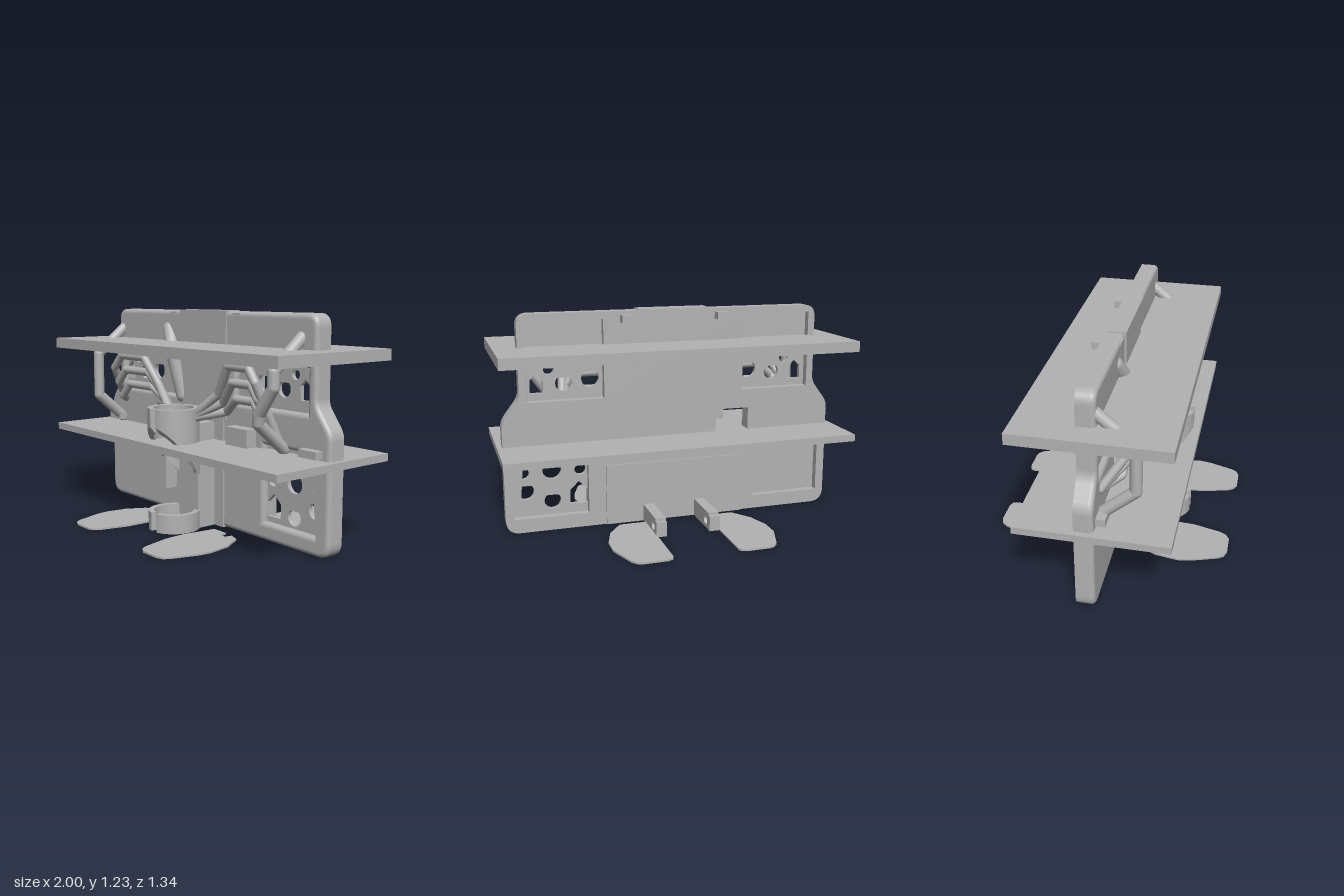
import * as THREE from 'three';
import { mergeGeometries } from 'three/addons/utils/BufferGeometryUtils.js';

const grey = new THREE.MeshStandardMaterial({ color: 0xb2b2b2 });
grey.name = 'plain grey';

export function createModel() {
  const model = new THREE.Group();
  const add = (name, geometry) => {
    const mesh = new THREE.Mesh(geometry, grey);
    mesh.name = name;
    model.add(mesh);
    return mesh;
  };
  // Box given by its limits on each axis
  const box = (name, x0, x1, y0, y1, z0, z1) => add(name,
    new THREE.BoxGeometry(x1 - x0, y1 - y0, z1 - z0).translate((x0 + x1) / 2, (y0 + y1) / 2, (z0 + z1) / 2));
  const poly = (pts) => new THREE.Shape(pts.map(([x, y]) => new THREE.Vector2(x, y)));
  const rect = (x0, x1, y0, y1) => poly([[x0, y0], [x1, y0], [x1, y1], [x0, y1]]);
  const house = (x, y, w, h) => poly([[x - w / 2, y], [x + w / 2, y], [x + w / 2, y + h - w / 2], [x, y + h], [x - w / 2, y + h - w / 2]]);
  const drop = (x, y, r) => {
    const s = new THREE.Shape();
    s.moveTo(x, y + r * 1.41);
    s.absarc(x, y, r, Math.PI * 0.75, Math.PI * 2.25, false);
    s.closePath();
    return s;
  };
  const slab = (name, shape, holes, z0, z1, bevel = 0) => {
    shape.holes = holes;
    return add(name, new THREE.ExtrudeGeometry(shape, {
      depth: z1 - z0 - 2 * bevel, bevelEnabled: bevel > 0, bevelThickness: bevel,
      bevelSize: bevel, bevelOffset: -bevel, bevelSegments: 5, curveSegments: 12,
    }).translate(0, 0, z0 + bevel));
  };
  // Jointed hose: straight runs with round elbows
  const hose = (name, pts, r) => {
    const parts = [];
    const v = pts.map((p) => new THREE.Vector3(...p));
    v.forEach((a, i) => {
      parts.push(new THREE.SphereGeometry(r, 16, 10).translate(a.x, a.y, a.z));
      if (i === v.length - 1) return;
      const d = v[i + 1].clone().sub(a);
      const m = a.clone().addScaledVector(d, 0.5);
      const q = new THREE.Quaternion().setFromUnitVectors(new THREE.Vector3(0, 1, 0), d.clone().normalize());
      parts.push(new THREE.CylinderGeometry(r, r, d.length(), 16, 1, true).applyQuaternion(q).translate(m.x, m.y, m.z));
    });
    add(name, mergeGeometries(parts));
  };

  // Horizontal shelves
  box('upperShelf', -1, 1, 0.98, 1.04, -0.37, 0.43);
  box('lowerShelf', -1, 1, 0.46, 0.5, -0.37, 0.43);

  // Upright body: wide below, shouldered in above
  const outline = () => {
    const s = new THREE.Shape();
    s.moveTo(-0.89, 0);
    s.lineTo(0.89, 0);
    s.quadraticCurveTo(0.97, 0, 0.97, 0.08);
    s.lineTo(0.97, 0.6);
    s.quadraticCurveTo(0.97, 0.63, 0.95, 0.66);
    s.lineTo(0.89, 0.74);
    s.quadraticCurveTo(0.87, 0.77, 0.87, 0.8);
    s.lineTo(0.87, 1.15);
    s.quadraticCurveTo(0.87, 1.22, 0.8, 1.22);
    s.lineTo(-0.8, 1.22);
    s.quadraticCurveTo(-0.87, 1.22, -0.87, 1.15);
    s.lineTo(-0.87, 0.8);
    s.quadraticCurveTo(-0.87, 0.77, -0.89, 0.74);
    s.lineTo(-0.95, 0.66);
    s.quadraticCurveTo(-0.97, 0.63, -0.97, 0.6);
    s.lineTo(-0.97, 0.08);
    s.quadraticCurveTo(-0.97, 0, -0.89, 0);
    return s;
  };
  const slot = () => rect(-0.46, -0.26, 0.4, 0.63);
  slab('bodyFront', outline(), [
    rect(-0.81, -0.27, 0.72, 0.95), rect(0.27, 0.81, 0.72, 0.95),
    rect(-0.92, -0.5, 0.1, 0.52), rect(0.5, 0.92, 0.1, 0.52), slot(),
  ], -0.02, 0.04, 0.025);
  slab('bodyBack', outline(), [
    rect(-0.83, -0.42, 0.74, 1.18), rect(0.4, 0.83, 0.74, 1.18),
    rect(-0.92, -0.5, 0.08, 0.5), rect(0.5, 0.92, 0.08, 0.5), slot(),
  ], -0.06, 0.01);

  // Perforated panels set into the openings
  slab('lowerRightPanel', rect(-0.95, -0.46, 0.07, 0.55), [
    drop(-0.71, 0.34, 0.053), drop(-0.87, 0.33, 0.032), drop(-0.55, 0.33, 0.032),
    house(-0.83, 0.15, 0.13, 0.12), house(-0.6, 0.15, 0.13, 0.12),
    drop(-0.86, 0.44, 0.045), house(-0.55, 0.41, 0.09, 0.12),
  ], 0.005, 0.03);
  slab('lowerLeftPanel', rect(0.46, 0.95, 0.07, 0.55), [
    drop(0.7, 0.34, 0.053), drop(0.54, 0.33, 0.032), drop(0.86, 0.33, 0.032),
    house(0.55, 0.13, 0.1, 0.13), drop(0.7, 0.16, 0.047), drop(0.85, 0.225, 0.047),
    house(0.55, 0.4, 0.13, 0.12), house(0.84, 0.4, 0.13, 0.12),
  ], -0.02, 0.005);
  for (const s of [-1, 1]) {
    slab('upperPanel', rect(s * 0.55 - 0.3, s * 0.55 + 0.3, 0.69, 0.98), [
      house(s * 0.77, 0.78, 0.07, 0.11), drop(s * 0.47, 0.85, 0.05), drop(s * 0.62, 0.83, 0.045),
      drop(s * 0.7, 0.91, 0.028), drop(s * 0.33, 0.9, 0.03),
    ], -0.015, 0.01);
    // Small latches and hinge blocks
    box('topTab', s * 0.275 - 0.03, s * 0.275 + 0.03, 1.16, 1.2, -0.115, -0.05);
    box('topNub', s * 0.28 - 0.03, s * 0.28 + 0.03, 1.2, 1.212, -0.01, 0.045);
    box('sideLatch', s * 0.86 - 0.06, s * 0.86 + 0.06, 0.51, 0.55, 0.03, 0.09);
    box('panelClip', s * 0.25 - 0.03, s * 0.25 + 0.03, 0.82, 0.87, 0.02, 0.055);
  }
  box('switchBlock', 0.27, 0.44, 0.43, 0.6, 0.03, 0.11);
  box('slotBlock', -0.34, -0.22, 0.55, 0.64, 0.03, 0.1);

  // Raised centre block and its back plate
  box('centreBlock', -0.21, 0.2, 0.62, 1.225, -0.05, 0.05);
  box('centreFoot', -0.18, 0.18, 0, 0.62, -0.05, 0.05);
  box('backPlate', -0.42, 0.4, 0, 0.35, -0.07, -0.05);

  // Holder column with a rib at its side
  box('column', -0.09, 0.105, 0, 0.6, 0.04, 0.17);
  box('columnRib', -0.15, -0.11, 0.2, 0.5, 0.04, 0.235);

  // Split rings, open toward the front
  const ring = (y0, y1) => {
    const gap = 0.16, a0 = -Math.PI / 2 + gap, a1 = Math.PI * 1.5 - gap;
    const s = new THREE.Shape();
    s.absarc(0, 0, 0.145, a0, a1, false);
    s.absarc(0, 0, 0.112, a1, a0, true);
    s.closePath();
    return new THREE.ExtrudeGeometry(s, { depth: y1 - y0, bevelEnabled: false, curveSegments: 40 })
      .rotateX(-Math.PI / 2).translate(0, y0, 0.26);
  };
  add('lowerRing', ring(0, 0.105));
  const cup = ring(0.5, 0.69);
  const p = cup.attributes.position;
  // Slope the lower edge of the cup down toward the column
  for (let i = 0; i < p.count; i++) {
    if (p.getY(i) < 0.6) p.setY(i, Math.max(0.31, 0.59 - (0.405 - p.getZ(i)) * 1.2));
  }
  cup.computeVertexNormals();
  add('upperRing', cup);

  // Three hoses fanning out to each side
  for (let i = 0; i < 3; i++) {
    const y = 0.94 - i * 0.09, z = 0.19 - i * 0.03;
    hose('rightHose', [[-0.12, 0.66 - i * 0.01, 0.2], [-0.27, 0.78 - i * 0.05, z - 0.03],
      [-0.38, y, z], [-0.62, y, z], [-0.7, y - 0.08, z], [-0.8, 0.65, 0.04]], 0.024);
    hose('leftHose', [[0.12, 0.66 - i * 0.01, 0.2], [0.27, 0.78 - i * 0.05, z - 0.03],
      [0.38, y, z], [0.54 - i * 0.01, y, z], [0.59 - i * 0.01, y - 0.07, z], [0.63, 0.53, 0.04]], 0.024);
  }

  // Outer pipes and the short inlet pipe
  hose('rightPipe', [[-0.83, 1.1, 0.03], [-0.83, 0.94, 0.225], [-0.83, 0.68, 0.225], [-0.83, 0.52, 0.04]], 0.032);
  hose('leftPipe', [[0.76, 1.1, 0.03], [0.76, 0.94, 0.225], [0.76, 0.86, 0.225], [0.66, 0.72, 0.225],
    [0.65, 0.67, 0.22], [0.65, 0.52, 0.04]], 0.032);
  hose('inletPipe', [[-0.35, 1.11, 0.02], [-0.25, 0.96, 0.07], [-0.21, 0.72, 0.03]], 0.042);

  // Flat paddle feet and the rear brackets with pin holes
  const frontFoot = [[0.2, 0.13], [0.3, 0.13], [0.31, 0.18], [0.35, 0.18], [0.36, 0.14], [0.42, 0.16], [0.48, 0.27],
    [0.5, 0.4], [0.49, 0.47], [0.44, 0.62], [0.42, 0.65], [0.38, 0.665], [0.27, 0.665], [0.235, 0.645],
    [0.215, 0.61], [0.175, 0.45], [0.17, 0.33]];
  const rearFoot = [[0.18, -0.12], [0.18, -0.64], [0.19, -0.66], [0.22, -0.67], [0.35, -0.67], [0.38, -0.66],
    [0.405, -0.63], [0.46, -0.47], [0.46, -0.36], [0.42, -0.23], [0.34, -0.12]];
  for (const s of [-1, 1]) {
    for (const [name, pts] of [['frontFoot', frontFoot], ['rearFoot', rearFoot]]) {
      add(name, new THREE.ExtrudeGeometry(poly(pts.map(([x, z]) => [s * x, -z])), { depth: 0.01, bevelEnabled: false })
        .rotateX(-Math.PI / 2));
    }
    const b = poly([[0.05, 0], [0.345, 0], [0.345, 0.085], [0.32, 0.085], [0.32, 0.1], [0.05, 0.1]]);
    b.holes = [drop(0.275, 0.045, 0.026)];
    add('rearBracket', new THREE.ExtrudeGeometry(b, { depth: 0.06, bevelEnabled: false })
      .rotateY(Math.PI / 2).translate(s * 0.155 - 0.03, 0, 0));
  }
  return model;
}
